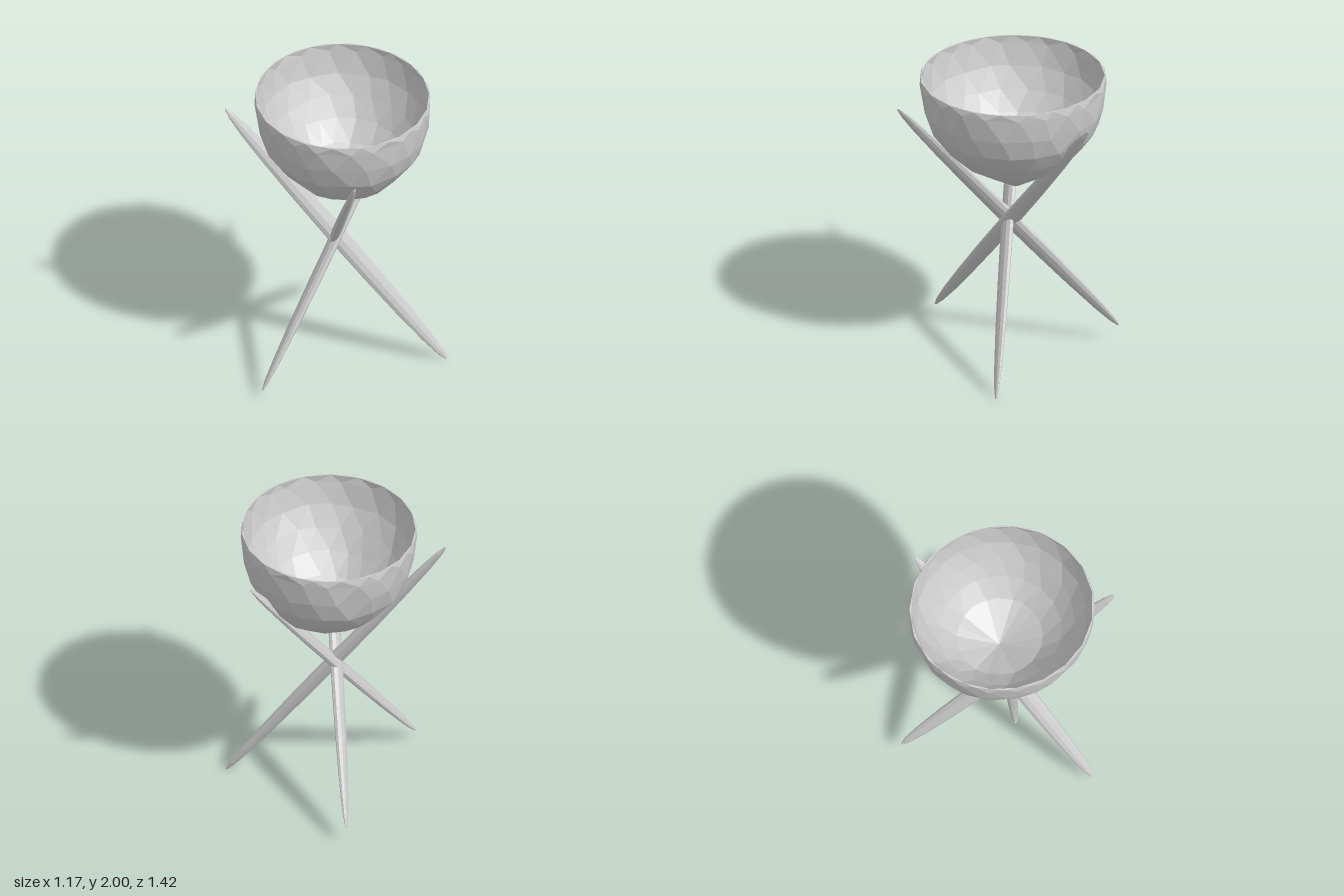
import * as THREE from 'three';

const material = new THREE.MeshStandardMaterial({ color: 0xcccccc, flatShading: true });

// Repeatable noise in -0.5..0.5
const noise = (a, b) => {
  const s = Math.sin(a * 127.1 + b * 311.7) * 43758.5453;
  return s - Math.floor(s) - 0.5;
};

// Faceted shell, thin at the rim: outer profile up to the rim, inner profile down to a point
function makeBowl() {
  const outer = [
    [0, 1.23], [0.045, 1.23], [0.17, 1.31], [0.335, 1.42], [0.44, 1.53],
    [0.525, 1.65], [0.568, 1.8], [0.584, 1.95], [0.58, 2],
  ];
  const inner = [
    [0.572, 2], [0.57, 1.95], [0.535, 1.8], [0.468, 1.67], [0.385, 1.55],
    [0.27, 1.43], [0, 1.28],
  ];
  const profile = [...outer, ...inner].map(([r, y]) => new THREE.Vector2(r, y));
  const segments = 20;
  const geometry = new THREE.LatheGeometry(profile, segments);
  const pos = geometry.attributes.position;
  const step = (Math.PI * 2) / segments;
  const rows = profile.length;
  for (let i = 0; i <= segments; i++) {
    for (let j = 0; j < rows; j++) {
      const { x: r, y } = profile[j];
      // Rings are staggered by half a step, uneven between the rim and the base
      const k = i % segments;
      const uneven = y === 2 || r < 0.2 ? 0 : 1;
      const angle = (i + j * 0.5 + 0.4 * uneven * noise(k, j)) * step;
      // Slightly oval along one diagonal
      const radius = r * (1 + 0.03 * Math.cos(2 * angle - 1.75));
      const dy = 0.02 * uneven * noise(k + 40, j);
      // The base sits slightly behind the rim
      const shift = -0.022 - 0.03 * (2 - y);
      pos.setXYZ(i * rows + j, radius * Math.sin(angle), y + dy, radius * Math.cos(angle) + shift);
    }
  }
  geometry.computeVertexNormals();
  const bowl = new THREE.Mesh(geometry, material);
  bowl.name = 'bowl';
  return bowl;
}

// Flattened spindle between two tips, its section turned about its length by roll degrees
function makePole(name, bottom, top, roll) {
  const from = new THREE.Vector3(...bottom);
  const to = new THREE.Vector3(...top);
  const axis = to.clone().sub(from);
  const length = axis.length();
  const half = [[0, 0], [0.14, 0.002], [0.4, 0.03], [0.62, 0.09], [0.82, 0.2], [0.95, 0.34]];
  const profile = [
    ...half, [1, 0.5], ...half.slice().reverse().map(([r, t]) => [r, 1 - t]),
  ].map(([r, t]) => new THREE.Vector2(r, t * length));
  const geometry = new THREE.LatheGeometry(profile, 10);
  geometry.scale(0.063, 1, 0.032);
  geometry.rotateY(-THREE.MathUtils.degToRad(roll));

  const up = axis.normalize();
  const level = new THREE.Vector3(0, 1, 0).cross(up).normalize();
  const side = level.clone().cross(up);
  geometry.applyMatrix4(new THREE.Matrix4().makeBasis(level, up, side).setPosition(from));
  geometry.computeVertexNormals();
  const pole = new THREE.Mesh(geometry, material);
  pole.name = name;
  return pole;
}

export function createModel() {
  const model = new THREE.Group();
  model.name = 'bowlOnTripod';

  // Three poles crossing below the bowl
  const stand = new THREE.Group();
  stand.name = 'stand';
  stand.add(
    makePole('frontPole', [-0.035, 0.06, 0.71], [0.01, 1.85, -0.71], 32),
    makePole('backRightPole', [-0.57, 0.12, -0.41], [0.55, 1.78, 0.475], -58),
    makePole('backLeftPole', [0.55, 0, -0.41], [-0.565, 1.9, 0.475], 57),
  );

  model.add(makeBowl(), stand);
  return model;
}
